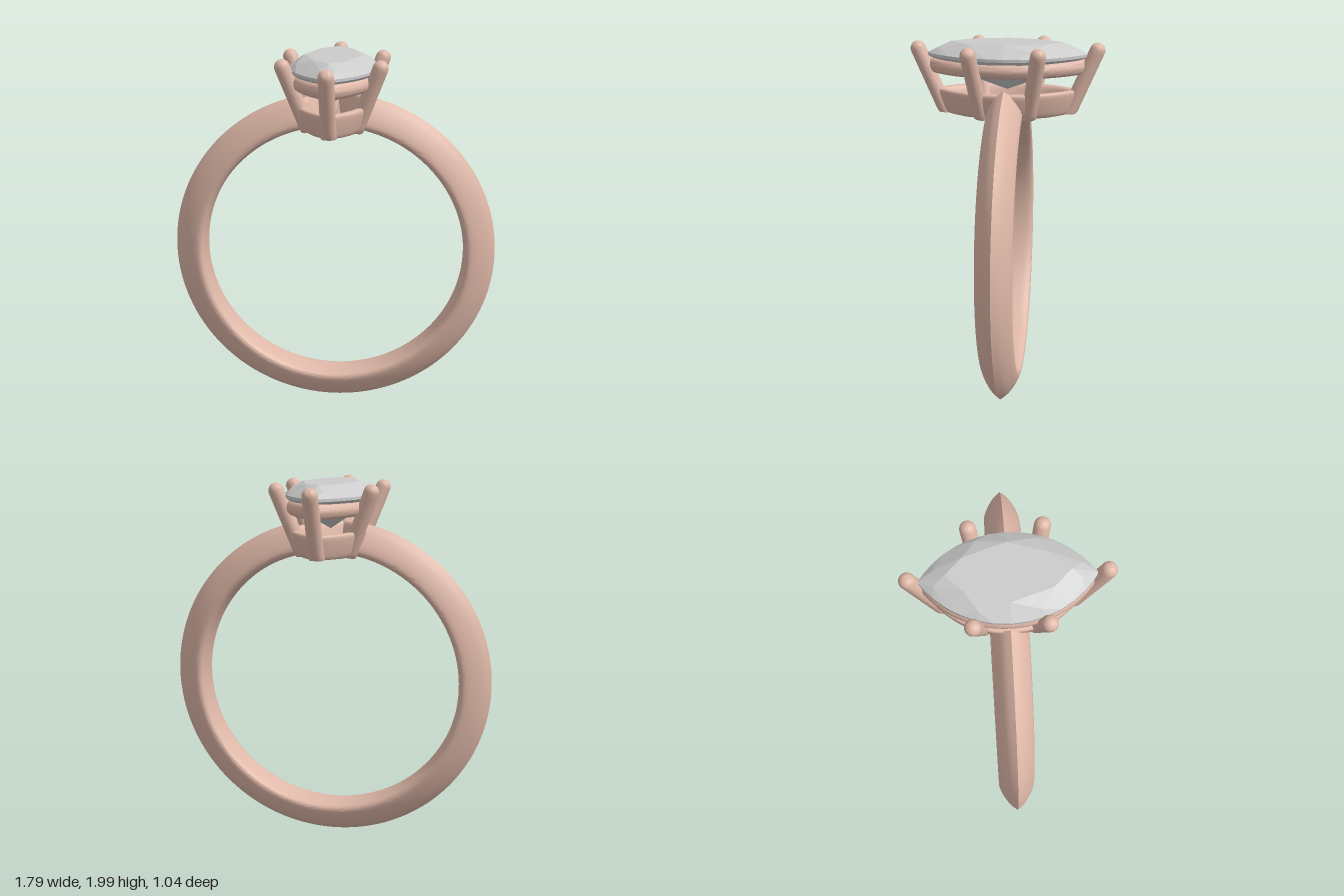
import * as THREE from 'three';
import { toCreasedNormals } from 'three/addons/utils/BufferGeometryUtils.js';
import { ConvexGeometry } from 'three/addons/geometries/ConvexGeometry.js';

const CENTRE = 0.9, INNER = 0.72; // finger hole

// Pointed oval made of two arcs, half length l along z, half width w along x
function marquise(l, w, t) {
  const R = (l * l + w * w) / (2 * w);
  const z = l * Math.sin(t);
  const x = Math.sqrt(R * R - z * z) - (R - w);
  return [Math.cos(t) < 0 ? -x : x, z];
}

// Skin a grid of points: rows along the path, closed columns around the section
function skin(rows, cols, point, closed) {
  const pos = [], idx = [];
  const n = closed ? rows : rows + 1;
  for (let i = 0; i < n; i++) for (let j = 0; j < cols; j++) pos.push(...point(i / rows, j));
  for (let i = 0; i < rows; i++) for (let j = 0; j < cols; j++) {
    const i2 = (i + 1) % n, j2 = (j + 1) % cols;
    const a = i * cols + j, b = i2 * cols + j, c = i2 * cols + j2, d = i * cols + j2;
    idx.push(a, b, c, a, c, d);
  }
  if (!closed) {
    const e = rows * cols;
    for (let j = 1; j < cols - 1; j++) idx.push(0, j, j + 1, e, e + j + 1, e + j);
  }
  const g = new THREE.BufferGeometry();
  g.setAttribute('position', new THREE.Float32BufferAttribute(pos, 3));
  g.setIndex(idx);
  return g;
}

// Keep everything outside the finger hole
function clearFinger(g) {
  const p = g.attributes.position;
  for (let i = 0; i < p.count; i++) {
    const x = p.getX(i);
    p.setY(i, Math.max(p.getY(i), CENTRE + Math.sqrt(INNER * INNER - x * x)));
  }
  return g;
}

// Band: ridged section swept round the finger, open where the setting sits
function bandGeometry() {
  const half = [[0.72, 0], [0.723, 0.06], [0.733, 0.086], [0.75, 0.095], [0.785, 0.086],
    [0.83, 0.062], [0.865, 0.036], [0.895, 0]].map(([r, z]) => new THREE.Vector3(r, z, 0));
  const side = new THREE.CatmullRomCurve3(half).getPoints(20);
  const section = [...side, ...side.slice(1, -1).reverse().map(p => new THREE.Vector3(p.x, -p.y, 0))];
  const g = skin(160, section.length, (u, j) => {
    const r = section[j].x, z = section[j].y;
    const start = Math.asin((0.15 + (r - INNER) * 0.33) / r);
    const a = start + u * 2 * (Math.PI - start);
    return [r * Math.sin(a), CENTRE + r * Math.cos(a), z];
  }, false);
  return toCreasedNormals(g, 0.7);
}

// Rail: rounded section (power < 1 is squarer) following the stone outline
function railGeometry(l, w, y, thick, high, flare, power) {
  const cols = 24;
  const round = v => Math.sign(v) * Math.abs(v) ** power;
  const g = skin(96, cols, (u, j) => {
    const s = j / cols * Math.PI * 2;
    const dv = -high * round(Math.sin(s));
    const du = thick * round(Math.cos(s)) + flare * dv;
    const [x, z] = marquise(l + du, w + du, u * Math.PI * 2);
    return [x, y + dv, z];
  }, true);
  return toCreasedNormals(clearFinger(g), 0.7);
}

// Prong: round-tipped rod leaning outwards, base trimmed to the finger hole
function prongGeometry(from, to) {
  const dir = to.clone().sub(from);
  const g = new THREE.CapsuleGeometry(0.041, dir.length(), 8, 20, 16);
  g.applyQuaternion(new THREE.Quaternion().setFromUnitVectors(new THREE.Vector3(0, 1, 0), dir.clone().normalize()));
  const mid = from.clone().add(to).multiplyScalar(0.5);
  g.translate(mid.x, mid.y, mid.z);
  clearFinger(g);
  g.computeVertexNormals();
  return toCreasedNormals(g, 0.7);
}

// Stone: faceted hull of table, crown, girdle, pavilion and culet
function stoneGeometry() {
  const pts = [new THREE.Vector3(0, 1.745, 0)];
  const ring = (l, w, y, n, shift) => {
    for (let k = 0; k < n; k++) {
      const [x, z] = marquise(l, w, (k + shift) / n * Math.PI * 2);
      pts.push(new THREE.Vector3(x, y, z));
    }
  };
  ring(0.3, 0.155, 1.998, 8, 0);
  ring(0.385, 0.208, 1.968, 8, 0.5);
  ring(0.43, 0.237, 1.937, 32, 0);
  ring(0.43, 0.237, 1.922, 32, 0);
  ring(0.245, 0.135, 1.83, 8, 0.5);
  return new ConvexGeometry(pts);
}

export function createModel() {
  const model = new THREE.Group();
  model.name = 'ring';
  const metal = new THREE.MeshStandardMaterial({ color: 0xdfb8a8 });
  const grey = new THREE.MeshStandardMaterial({ color: 0xcccccc, flatShading: true });
  const add = (parent, name, geometry, material) => {
    const mesh = new THREE.Mesh(geometry, material);
    mesh.name = name;
    parent.add(mesh);
  };

  add(model, 'band', bandGeometry(), metal);

  const setting = new THREE.Group();
  setting.name = 'setting';
  model.add(setting);
  add(setting, 'lowerRail', railGeometry(0.345, 0.165, 1.68, 0.03, 0.068, 0.3, 0.5), metal);
  add(setting, 'upperRail', railGeometry(0.395, 0.195, 1.87, 0.038, 0.04, 0, 1), metal);

  // Two end prongs and four side prongs
  const V = (x, y, z) => new THREE.Vector3(x, y, z);
  for (const sz of [1, -1]) {
    add(setting, 'endProng', prongGeometry(V(0, 1.58, 0.313 * sz), V(0, 1.957, 0.478 * sz)), metal);
    for (const sx of [1, -1]) {
      add(setting, 'sideProng',
        prongGeometry(V(0.112 * sx, 1.58, 0.12 * sz), V(0.254 * sx, 1.957, 0.18 * sz)), metal);
    }
  }

  add(model, 'stone', stoneGeometry(), grey);
  return model;
}
